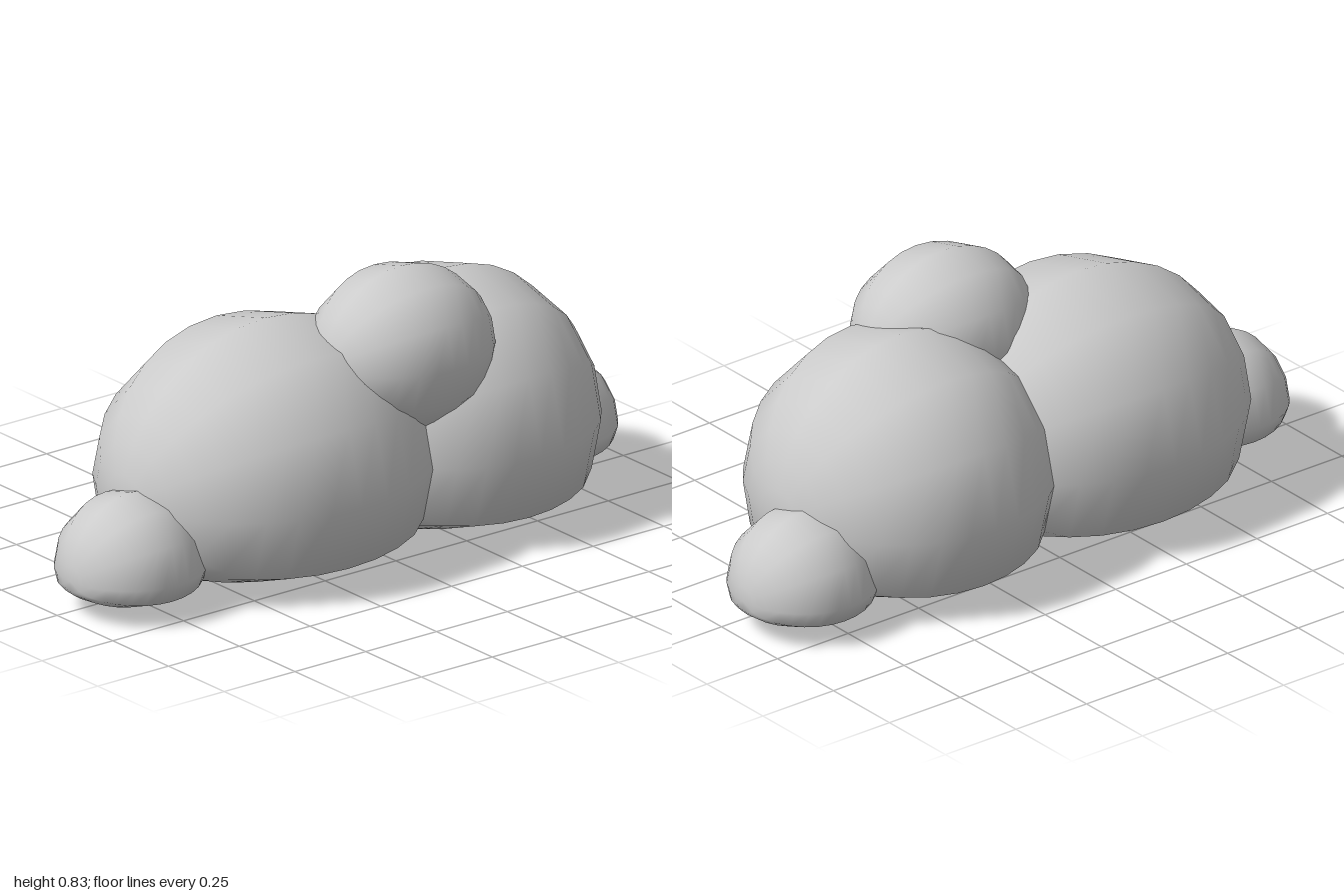
import * as THREE from 'three';
import { mergeVertices } from 'three/addons/utils/BufferGeometryUtils.js';

const FLOOR = 0.093;   // below this height every puff is flattened
const SQUASH = 0.36;

// Ellipsoid puff with its poles along z and a flattened underside
function puffGeometry([x, y, z], radius, depth) {
  let geo = new THREE.SphereGeometry(1, 12, 16);
  geo.rotateX(Math.PI / 2);
  geo.scale(radius, radius, depth);
  geo.translate(x, y, z);
  geo.deleteAttribute('uv');
  geo.deleteAttribute('normal');
  geo = mergeVertices(geo, 1e-5);
  const pos = geo.attributes.position;
  for (let i = 0; i < pos.count; i++) {
    const h = pos.getY(i);
    if (h < FLOOR) pos.setY(i, FLOOR + (h - FLOOR) * SQUASH);
  }
  geo.computeVertexNormals();
  return geo;
}

export function createModel() {
  const group = new THREE.Group();
  group.name = 'cloud';
  const material = new THREE.MeshStandardMaterial({ color: 0xcccccc });

  // name, centre, radius across, radius along z
  const puffs = [
    ['frontLargePuff', [0, 0.276, 0.265], 0.436, 0.505],
    ['backLargePuff', [0, 0.276, -0.37], 0.436, 0.436],
    ['topPuff', [0.153, 0.588, -0.095], 0.24, 0.275],
    ['frontSmallPuff', [0.057, 0.12, 0.785], 0.214, 0.214],
    ['backSmallPuff', [-0.097, 0.12, -0.787], 0.214, 0.214],
  ];
  for (const [name, centre, radius, depth] of puffs) {
    const mesh = new THREE.Mesh(puffGeometry(centre, radius, depth), material);
    mesh.name = name;
    group.add(mesh);
  }
  return group;
}
